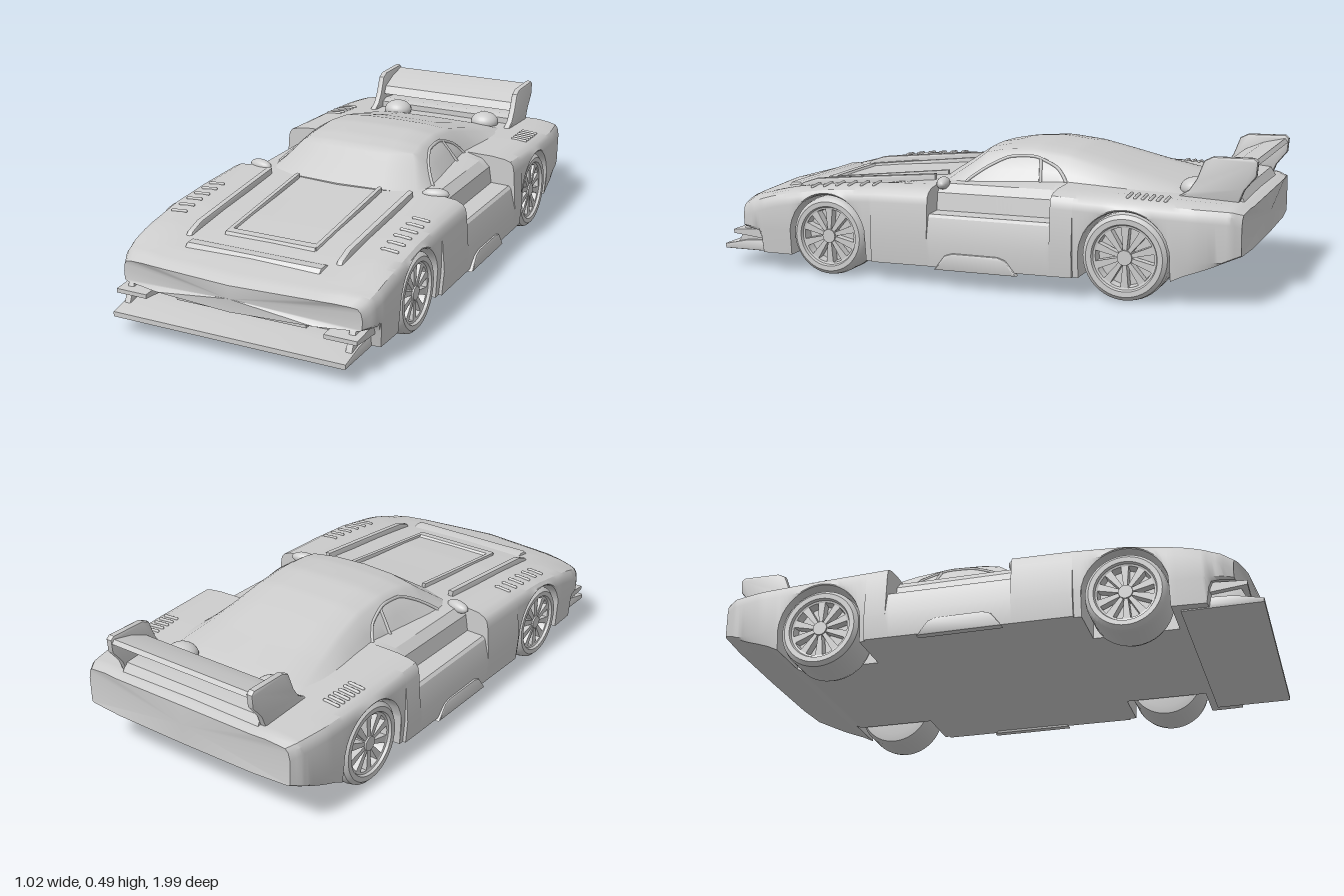
import * as THREE from 'three';
import { toCreasedNormals } from 'three/addons/utils/BufferGeometryUtils.js';

const paint = new THREE.MeshStandardMaterial({ color: 0xcccccc });
paint.name = 'light grey';

const { smoothstep, lerp } = THREE.MathUtils;

// Interpolate rows of [z, a, b, ...], listed from front to back
function sample(keys, z) {
  let i = 0;
  while (i < keys.length - 2 && z < keys[i + 1][0]) i++;
  const a = keys[i], b = keys[i + 1];
  const t = Math.min(1, Math.max(0, (a[0] - z) / (a[0] - b[0])));
  return a.slice(1).map((v, k) => lerp(v, b[k + 1], t));
}

// Skin over half sections running from bottom centre to top centre, mirrored in x
function loft(zs, half, bow) {
  const pos = [], idx = [];
  const rings = zs.map((z) => {
    const h = half(z);
    return [...h, ...h.slice(1, -1).reverse().map(([x, y]) => [-x, y])].map(([x, y]) => [x, y, bow(x, z)]);
  });
  const n = rings[0].length;
  rings.forEach((r) => r.forEach((p) => pos.push(...p)));
  for (let j = 0; j < rings.length - 1; j++) {
    for (let i = 0; i < n; i++) {
      const a = j * n + i, b = j * n + (i + 1) % n;
      idx.push(a, a + n, b, b, a + n, b + n);
    }
  }
  [0, rings.length - 1].forEach((j) => {
    const r = rings[j], c = pos.length / 3, q = r.length / 2;
    pos.push(0, (r[0][1] + r[q][1]) / 2, r[0][2]);
    for (let i = 0; i < n; i++) {
      const a = j * n + i, b = j * n + (i + 1) % n;
      idx.push(...(j === 0 ? [c, a, b] : [c, b, a]));
    }
  });
  const g = new THREE.BufferGeometry();
  g.setAttribute('position', new THREE.Float32BufferAttribute(pos, 3));
  g.setIndex(idx);
  return toCreasedNormals(g, 0.55);
}

// Side profile of [z, y] points, extruded across x around a centre
function slab(profile, width, x = 0, bevel = 0) {
  const shape = new THREE.Shape(profile.map(([z, y]) => new THREE.Vector2(z, y)));
  const depth = width - 2 * bevel;
  const g = new THREE.ExtrudeGeometry(shape, { depth, bevelEnabled: bevel > 0, bevelSize: bevel, bevelThickness: bevel, bevelOffset: -bevel, bevelSegments: 2 });
  g.rotateY(-Math.PI / 2).translate(x + depth / 2, 0, 0);
  return toCreasedNormals(g, 0.6);
}

const wheels = [
  { name: 'frontWheel', z: 0.54, r: 0.146 },
  { name: 'rearWheel', z: -0.58, r: 0.153 },
];

// Body: z, half width, shoulder height, fender crest, centre height
const bodyKeys = [
  [0.97, 0.455, 0.225, 0.243, 0.25], [0.93, 0.475, 0.245, 0.265, 0.268], [0.85, 0.485, 0.262, 0.28, 0.283],
  [0.7, 0.49, 0.288, 0.31, 0.302], [0.54, 0.49, 0.312, 0.332, 0.32], [0.35, 0.49, 0.322, 0.345, 0.335],
  [0.15, 0.49, 0.325, 0.35, 0.355], [-0.32, 0.495, 0.345, 0.365, 0.37], [-0.58, 0.495, 0.335, 0.36, 0.36],
  [-0.82, 0.485, 0.328, 0.348, 0.348], [-0.95, 0.465, 0.322, 0.34, 0.342], [-0.985, 0.445, 0.312, 0.328, 0.33],
];
const floorKeys = [[0.97, 0.155], [0.87, 0.145], [0.85, 0.065], [-0.72, 0.075], [-0.78, 0.105], [-0.985, 0.18]];

function bodySection(z) {
  const [w, shoulder, crest, centre] = sample(bodyKeys, z);
  const [floor] = sample(floorKeys, z);
  let arch = floor;
  for (const { z: wz, r } of wheels) {
    const d = (r + 0.007) ** 2 - (z - wz) ** 2;
    if (d > 0) arch = Math.max(arch, r + Math.sqrt(d));
  }
  const skirt = z < 0.36 && z > -0.4 ? 0.012 : 0;
  const door = z < 0.14 && z > -0.32;
  const mid = Math.max(arch + 0.004, 0.16);
  const upper = door
    ? [[w - 0.008, 0.245], [w - 0.018, 0.255], [0.405, 0.257], [0.395, 0.32], [0.365, 0.35]]
    : [[w + 0.002, Math.max(mid + 0.004, shoulder - 0.035)], [w - 0.003, shoulder - 0.008], [w - 0.014, shoulder + 0.006],
      [w - 0.04, crest - 0.006], [w - 0.09, crest]];
  return [[0, floor], [0.3, floor], [0.3, arch], [w - 0.008 + skirt, arch], [w + skirt, mid], ...upper, [0.3, centre - 0.003], [0, centre]];
}

// Cabin: z, belt half width, roof half width, roof height
const cabinKeys = [
  [0.2, 0.345, 0.31, 0.355], [0.04, 0.335, 0.235, 0.458], [-0.04, 0.33, 0.228, 0.472], [-0.17, 0.32, 0.225, 0.48],
  [-0.3, 0.31, 0.225, 0.466], [-0.42, 0.32, 0.235, 0.437], [-0.55, 0.34, 0.255, 0.402], [-0.7, 0.36, 0.285, 0.365], [-0.8, 0.36, 0.29, 0.335],
];
function cabinSection(z) {
  const [belt, roof, y] = sample(cabinKeys, z);
  return [[0, 0.3], [belt, 0.3], [belt, 0.33], [lerp(belt, roof, 0.55) + 0.008, lerp(0.33, y - 0.02, 0.55)],
    [roof + 0.008, y - 0.022], [roof - 0.012, y - 0.01], [roof * 0.55, y - 0.002], [0, y]];
}
function cabinSide(z, y) {
  const [belt, roof, top] = sample(cabinKeys, z);
  return lerp(belt, roof, (y - 0.33) / (top - 0.35)) + 0.007;
}

function wheel(r) {
  const g = new THREE.Group();
  const add = (name, geo) => { const m = new THREE.Mesh(geo, paint); m.name = name; g.add(m); return m; };
  // Revolved about y, then turned so +y becomes +x
  const profile = [[0, -0.085], [r * 0.75, -0.085], [r * 0.93, -0.08], [r, -0.055], [r, 0.05], [r * 0.97, 0.072], [r * 0.88, 0.085],
    [r * 0.76, 0.084], [r * 0.73, 0.074], [r * 0.68, 0.072], [r * 0.66, 0.035], [0, 0.035]];
  const tyre = new THREE.LatheGeometry(profile.map(([a, b]) => new THREE.Vector2(a, b)), 48);
  add('tyre', toCreasedNormals(tyre, 0.6).rotateZ(-Math.PI / 2));
  add('hub', new THREE.CylinderGeometry(r * 0.17, r * 0.2, 0.045, 24).rotateZ(-Math.PI / 2).translate(0.055, 0, 0));
  for (let i = 0; i < 10; i++) {
    const spoke = slab([[-0.006, r * 0.1], [0.006, r * 0.1], [0.014, r * 0.7], [-0.014, r * 0.7]], 0.032, 0.056);
    add('spoke', spoke.rotateX(i * Math.PI / 5));
  }
  return g;
}

export function createModel() {
  const car = new THREE.Group();
  car.name = 'raceCar';
  const add = (name, geo) => { const m = new THREE.Mesh(geo, paint); m.name = name; car.add(m); return m; };
  const both = (fn) => [1, -1].forEach((s) => fn(s, s > 0 ? 'left' : 'right'));

  // Body shell with wheel arches and recessed doors
  const edges = [0.1401, 0.1399, -0.3199, -0.3201, 0.3601, 0.3599, -0.3999, -0.4001, -0.985];
  wheels.forEach(({ z, r }) => edges.push(z + r + 0.007, z - r - 0.007, z + r + 0.004, z - r - 0.004));
  for (let z = 0.97; z > -0.98; z -= 0.015) edges.push(z);
  edges.sort((a, b) => b - a);
  add('bodyShell', loft(edges, bodySection, (x, z) => z
    - 0.07 * (x / 0.48) ** 2 * smoothstep(z, 0.72, 0.97)
    + 0.02 * (x / 0.48) ** 4 * smoothstep(-z, 0.85, 0.985)));

  // Cabin with fastback
  const cabinZ = [];
  for (let i = 0; i <= 50; i++) cabinZ.push(0.2 - i * 0.02);
  add('cabin', loft(cabinZ, cabinSection, (x, z) => z - 0.06 * (x / 0.33) ** 2 * smoothstep(z, -0.1, 0.1)));

  // Side window frames, mirrors, door handles
  both((s, side) => {
    const pts = [[0.06, 0.345], [0.0, 0.4], [-0.08, 0.44], [-0.18, 0.445], [-0.27, 0.41], [-0.31, 0.35], [-0.12, 0.343]];
    const curve = new THREE.CatmullRomCurve3(pts.map(([z, y]) => new THREE.Vector3(s * cabinSide(z, y), y, z)), true, 'catmullrom', 0.3);
    add(side + 'WindowFrame', new THREE.TubeGeometry(curve, 60, 0.006, 6, true));
    const pillar = new THREE.LineCurve3(new THREE.Vector3(s * cabinSide(-0.22, 0.345), 0.345, -0.22), new THREE.Vector3(s * cabinSide(-0.2, 0.44), 0.44, -0.2));
    add(side + 'DoorPillar', new THREE.TubeGeometry(pillar, 2, 0.006, 6));
    const mirror = add(side + 'Mirror', new THREE.SphereGeometry(1, 20, 12));
    mirror.scale.set(0.05, 0.022, 0.024);
    mirror.position.set(s * 0.365, 0.35, 0.13);
    mirror.rotation.y = s * 0.25;
    // Stepped sill below the door
    add(side + 'SillStep', slab([[0.11, 0.062], [0.07, 0.115], [0.04, 0.125], [-0.13, 0.125], [-0.16, 0.115], [-0.2, 0.062]], 0.03, s * 0.493, 0.006));
  });

  // Hood ridges and raised panel border
  both((s, side) => {
    add(side + 'HoodRidge', slab([[0.76, 0.28], [0.74, 0.305], [0.68, 0.325], [0.45, 0.347], [0.19, 0.37], [0.19, 0.3]], 0.024, s * 0.292, 0.007));
    add(side + 'HoodPanelEdge', slab([[0.7, 0.29], [0.69, 0.312], [0.45, 0.338], [0.19, 0.366], [0.19, 0.3]], 0.018, s * 0.17, 0.005));
  });
  add('hoodPanelLip', slab([[0.705, 0.29], [0.695, 0.312], [0.665, 0.314], [0.65, 0.295]], 0.35));
  add('noseCrease', slab([[0.83, 0.275], [0.81, 0.297], [0.78, 0.299], [0.74, 0.285]], 0.52, 0, 0.006));

  // Fender louvres
  both((s, side) => {
    for (let i = 0; i < 6; i++) {
      for (const [z0, lift] of [[0.37, 0], [-0.71, 0]]) {
        const z = z0 + i * (z0 > 0 ? 0.05 : 0.026);
        const [w, , crest] = sample(bodyKeys, z);
        const rib = add(side + 'Louvre', new THREE.CapsuleGeometry(0.006, 0.055, 3, 8).rotateZ(Math.PI / 2));
        rib.position.set(s * (w - 0.075), crest - 0.001 + lift, z);
        rib.rotation.z = -s * 0.08;
      }
    }
  });

  // Front splitter, intake blade and struts
  add('frontSplitter', slab([[1, 0.06], [1, 0.078], [0.9, 0.1], [0.8, 0.105], [0.72, 0.085], [0.72, 0.06]], 0.89, 0, 0.006));
  add('intakeBlade', slab([[0.9, 0.12], [0.9, 0.135], [0.82, 0.14], [0.82, 0.12]], 0.5));
  both((s, side) => {
    add(side + 'SplitterStrut', slab([[0.95, 0.075], [0.91, 0.16], [0.8, 0.16], [0.8, 0.075]], 0.025, s * 0.425, 0.005));
    add(side + 'SplitterFin', slab([[0.95, 0.125], [0.95, 0.14], [0.8, 0.15], [0.8, 0.11]], 0.12, s * 0.4));
  });

  // Rear wing
  add('wingBlade', slab([[-0.815, 0.4], [-0.83, 0.432], [-0.9, 0.462], [-0.98, 0.48], [-0.99, 0.465], [-0.92, 0.435], [-0.86, 0.4]], 0.61));
  add('wingLowerBlade', slab([[-0.8, 0.335], [-0.8, 0.37], [-0.83, 0.38], [-0.93, 0.37], [-0.95, 0.335]], 0.6));
  both((s, side) => {
    add(side + 'WingEndplate', slab([[-0.71, 0.34], [-0.76, 0.372], [-0.785, 0.41], [-0.81, 0.475], [-0.84, 0.49], [-0.98, 0.492],
      [-0.994, 0.48], [-0.99, 0.43], [-0.95, 0.38], [-0.93, 0.33]], 0.026, s * 0.308, 0.008));
    const dome = add(side + 'DeckDome', new THREE.SphereGeometry(0.055, 24, 16));
    dome.scale.set(1.05, 0.7, 0.95);
    dome.position.set(s * 0.2, 0.36, -0.755);
  });

  // Wheels
  wheels.forEach(({ name, z, r }) => both((s, side) => {
    const g = wheel(r);
    g.name = side + name[0].toUpperCase() + name.slice(1);
    g.position.set(s * 0.4, r, z);
    if (s < 0) g.rotation.y = Math.PI;
    car.add(g);
  }));

  return car;
}
